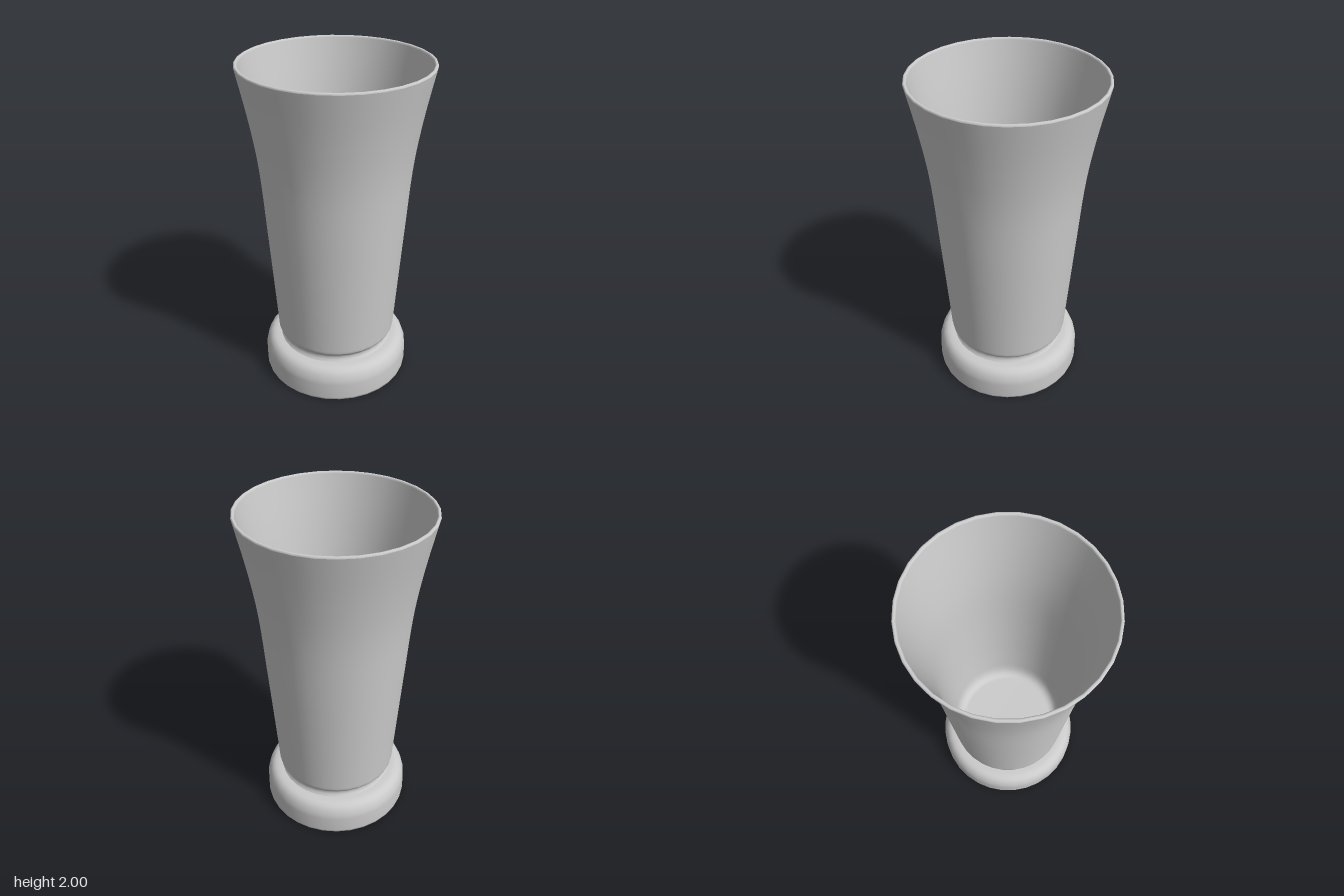
import * as THREE from 'three';

const material = new THREE.MeshStandardMaterial({ color: 0xcccccc, side: THREE.DoubleSide });
const SEGMENTS = 32;
const vec = ([x, y]) => new THREE.Vector2(x, y);

// Revolve a profile of [radius, height] points around y
function turned(name, points) {
  const mesh = new THREE.Mesh(new THREE.LatheGeometry(points.map(vec), SEGMENTS), material);
  mesh.name = name;
  return mesh;
}

// Smooth profile through a few [radius, height] points
function smooth(points, divisions) {
  return new THREE.SplineCurve(points.map(vec)).getPoints(divisions).map((p) => [p.x, p.y]);
}

export function createModel() {
  const group = new THREE.Group();
  group.name = 'flaredTumbler';

  // Heavy rounded foot
  group.add(turned('footUnderside', [[0, 0], [0.44, 0]]));
  group.add(turned('foot', [
    [0.44, 0], [0.452, 0.005], [0.456, 0.02], [0.456, 0.12], [0.452, 0.15],
    [0.441, 0.182], [0.425, 0.204], [0.405, 0.216], [0.38, 0.22], [0.355, 0.221],
  ]));

  // Pinched neck between foot and body
  group.add(turned('neck', smooth([
    [0.355, 0.221], [0.345, 0.238], [0.345, 0.26], [0.358, 0.278], [0.368, 0.29], [0.371, 0.308],
  ], 12)));

  // Tapered outer wall flaring to the mouth
  group.add(turned('outerWall', smooth([
    [0.371, 0.308], [0.393, 0.65], [0.416, 1.0], [0.444, 1.4], [0.487, 1.7], [0.545, 1.99],
  ], 24)));

  // Thin rounded rim
  group.add(turned('rim', [[0.545, 1.99], [0.544, 1.997], [0.539, 2], [0.532, 2], [0.527, 1.997], [0.525, 1.99]]));

  // Inner wall running down into a rounded floor
  group.add(turned('innerWall', [
    ...smooth([
      [0.525, 1.99], [0.467, 1.7], [0.424, 1.4], [0.396, 1.0], [0.373, 0.65], [0.353, 0.4],
    ], 24),
    [0.346, 0.36], [0.333, 0.332], [0.314, 0.314], [0.29, 0.308], [0, 0.308],
  ]));

  return group;
}
